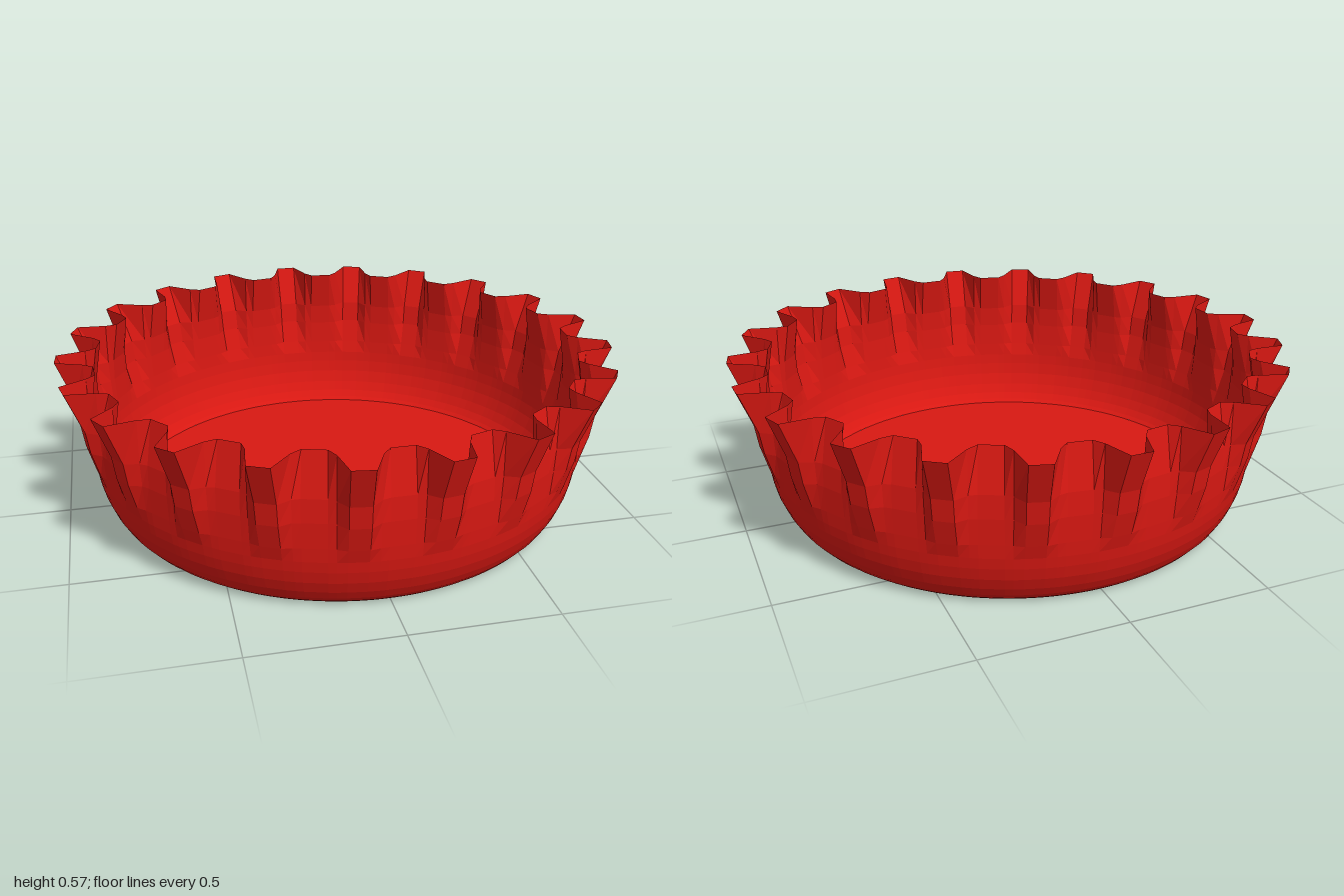
import * as THREE from 'three';

const TEETH = 21;
const STEP = 360 / TEETH;

// Corners of one flute: angle in degrees from the tooth centre, and which profile radius it follows
const FLUTE = [
  [-2.1, 'tooth'], [2.1, 'tooth'], [4.3, 'flank'],
  [6.0, 'valley'], [STEP - 6.0, 'valley'], [STEP - 4.3, 'flank'],
];

// Plain rounded shell below, splitting into crimped teeth above
const plain = (y, r) => ({ y, tooth: r, flank: r, valley: r });
const ROWS = [
  plain(0, 0.8),
  plain(0.012, 0.815),
  plain(0.035, 0.835),
  plain(0.07, 0.855),
  plain(0.115, 0.873),
  plain(0.16, 0.884),
  plain(0.2, 0.89),
  { y: 0.25, tooth: 0.905, flank: 0.896, valley: 0.894 },
  { y: 0.34, tooth: 0.93, flank: 0.902, valley: 0.898 },
  { y: 0.42, tooth: 0.942, flank: 0.905, valley: 0.895 },
  { y: 0.57, tooth: 1.0, flank: 0.902, valley: 0.868 },
];

// One closed ring of points for a profile row
function ring(row) {
  const points = [];
  for (let t = 0; t < TEETH; t++) {
    for (const [offset, kind] of FLUTE) {
      const a = THREE.MathUtils.degToRad(t * STEP + offset - 0.6);
      points.push(Math.sin(a) * row[kind], row.y, -Math.cos(a) * row[kind]);
    }
  }
  return points;
}

function wallGeometry() {
  const n = TEETH * FLUTE.length;
  const positions = ROWS.flatMap(ring);
  const index = [];
  for (let r = 0; r < ROWS.length - 1; r++) {
    for (let i = 0; i < n; i++) {
      const j = (i + 1) % n;
      const a = r * n + i, b = r * n + j, c = a + n, d = b + n;
      index.push(a, c, b, b, c, d);
    }
  }
  const geometry = new THREE.BufferGeometry();
  geometry.setAttribute('position', new THREE.Float32BufferAttribute(positions, 3));
  geometry.setIndex(index);
  geometry.computeVertexNormals();
  return geometry;
}

export function createModel() {
  const material = new THREE.MeshStandardMaterial({
    color: 0xd81812, flatShading: true, side: THREE.DoubleSide,
  });
  const cap = new THREE.Group();
  cap.name = 'crimpedCap';

  // Thin fluted wall, open at the top
  const wall = new THREE.Mesh(wallGeometry(), material);
  wall.name = 'flutedWall';

  // Flat round panel closing the bottom
  const panel = new THREE.Mesh(new THREE.CircleGeometry(0.8, TEETH * FLUTE.length), material);
  panel.name = 'basePanel';
  panel.rotation.x = Math.PI / 2;

  cap.add(wall, panel);
  return cap;
}
